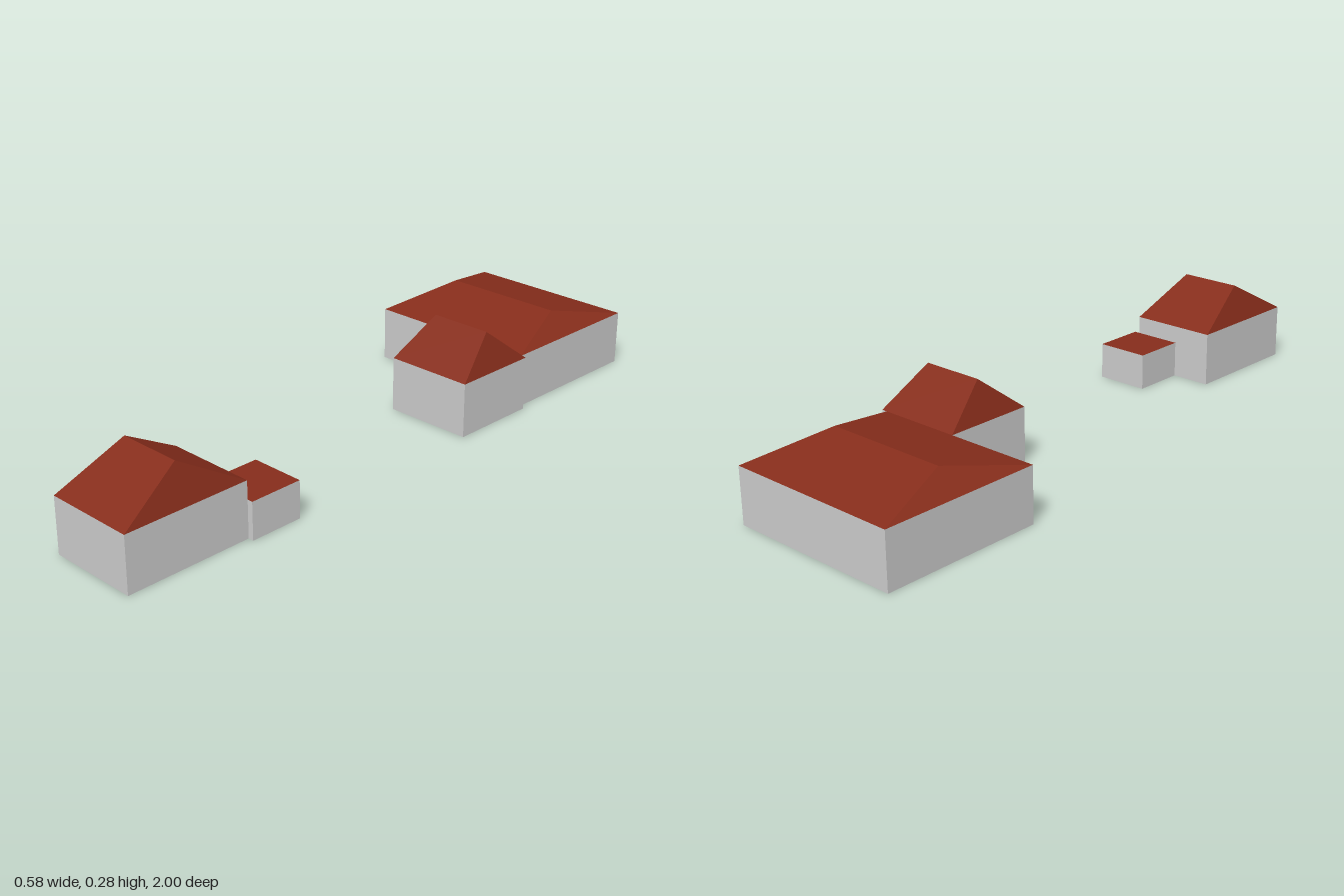
import * as THREE from 'three';

const wallMat = new THREE.MeshStandardMaterial({ color: 0xcccccc, flatShading: true });
const roofMat = new THREE.MeshStandardMaterial({ color: 0x862d1b, flatShading: true });

// Hipped roof: a ridge along x, inset from both ends
function hipRoof(w, d, rise, inset) {
  const x = w / 2, z = d / 2, r = x - inset;
  const geo = new THREE.BufferGeometry();
  geo.setAttribute('position', new THREE.Float32BufferAttribute([
    -x, 0, z, x, 0, z, x, 0, -z, -x, 0, -z, // eaves
    -r, rise, 0, r, rise, 0, // ridge
  ], 3));
  geo.setIndex([
    0, 1, 5, 0, 5, 4, // front slope
    2, 3, 4, 2, 4, 5, // back slope
    1, 2, 5, 3, 0, 4, // hips
  ]);
  const flat = geo.toNonIndexed();
  flat.computeVertexNormals();
  return flat;
}

// Walls without a top face, closed by the roof
function wallBox(w, h, d) {
  const geo = new THREE.BoxGeometry(w, h, d);
  const index = Array.from(geo.index.array);
  index.splice(12, 6); // drop the hidden top
  geo.setIndex(index);
  geo.clearGroups();
  return geo;
}

function building({ name, x, z, h, rise, inset }) {
  const group = new THREE.Group();
  group.name = name;
  const w = x[1] - x[0], d = z[1] - z[0];
  group.position.set((x[0] + x[1]) / 2, 0, (z[0] + z[1]) / 2);

  const walls = new THREE.Mesh(wallBox(w, h, d), wallMat);
  walls.name = name + 'Walls';
  walls.position.y = h / 2;

  const roofGeo = rise ? hipRoof(w, d, rise, inset) : new THREE.PlaneGeometry(w, d).rotateX(-Math.PI / 2);
  const roof = new THREE.Mesh(roofGeo, roofMat);
  roof.name = name + 'Roof';
  roof.position.y = h;

  group.add(walls, roof);
  return group;
}

export function createModel() {
  const model = new THREE.Group();
  model.name = 'houses';
  const parts = [
    // Rear house with its wing
    { name: 'mainHouse', x: [-0.292, 0.262], z: [-1, -0.501], h: 0.167, rise: 0.055, inset: 0.082 },
    { name: 'houseWing', x: [0.002, 0.28], z: [-0.501, -0.223], h: 0.167, rise: 0.111, inset: 0.041 },
    // Front cottage with its flat-roofed shed
    { name: 'cottage', x: [-0.003, 0.275], z: [0.612, 1], h: 0.167, rise: 0.111, inset: 0.041 },
    { name: 'shed', x: [0.124, 0.292], z: [0.446, 0.612], h: 0.112, rise: 0 },
  ];
  for (const p of parts) model.add(building(p));
  return model;
}
